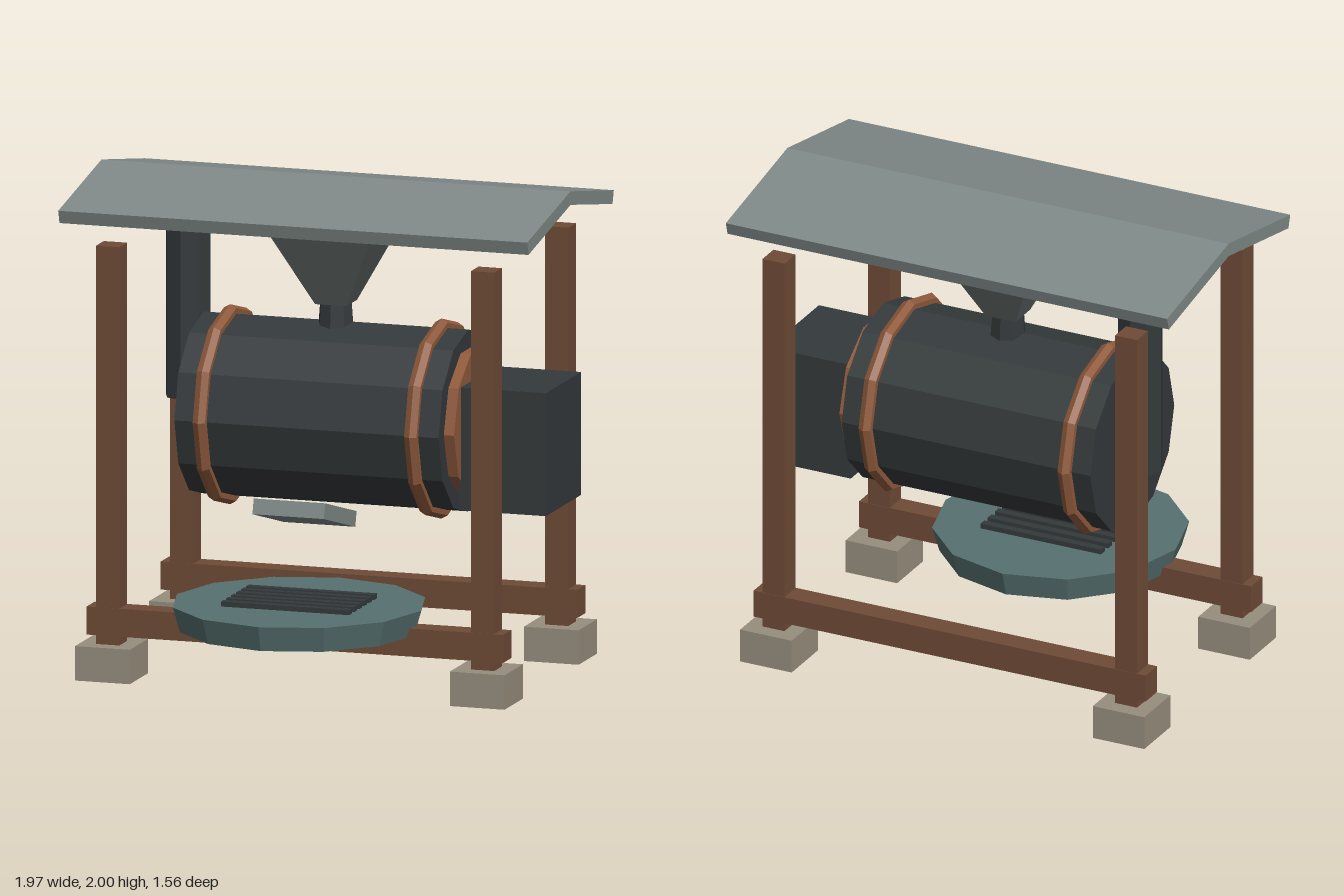
import * as THREE from 'three';

const paint = (color) => new THREE.MeshStandardMaterial({ color, flatShading: true });

export function createModel() {
  const model = new THREE.Group();
  const wood = paint(0x6e4b37), stone = paint(0x968d7d), iron = paint(0x34393b);
  const copper = paint(0x8f5a3c), tin = paint(0x7f8987), dish = paint(0x56706f);
  const funnel = paint(0x646c6b);

  const add = (name, geometry, material, x, y, z) => {
    const mesh = new THREE.Mesh(geometry, material);
    mesh.name = name;
    mesh.position.set(x, y, z);
    model.add(mesh);
    return mesh;
  };
  const box = (name, w, h, d, material, x, y, z) =>
    add(name, new THREE.BoxGeometry(w, h, d), material, x, y, z);
  const tube = (name, rTop, rBottom, h, sides, material, x, y, z) =>
    add(name, new THREE.CylinderGeometry(rTop, rBottom, h, sides), material, x, y, z);

  const axisY = 1.04, axisZ = -0.2;

  // Timber frame on stone footings
  for (const z of [0.265, -0.665]) {
    for (const x of [-0.787, 0.787]) {
      box('footing', 0.23, 0.14, 0.23, stone, x, 0.07, z);
      box('post', 0.098, 1.62, 0.096, wood, x, 0.95, z);
    }
    box('beam', 1.75, 0.114, 0.1, wood, 0, 0.233, z);
  }

  // Pitched roof, extruded along x
  const profile = new THREE.Shape([
    [-0.543, 1.898], [-0.527, 1.845], [0, 1.945], [0.527, 1.845], [0.543, 1.898], [0, 2],
  ].map(([x, y]) => new THREE.Vector2(x, y)));
  const roofGeometry = new THREE.ExtrudeGeometry(profile, { depth: 1.97, bevelEnabled: false });
  roofGeometry.translate(0, 0, -0.985).rotateY(Math.PI / 2);
  add('roof', roofGeometry, tin, 0, 0, axisZ);

  // Drum with copper hoops and end plate
  tube('drum', 0.37, 0.37, 1.11, 12, iron, 0, axisY, axisZ).rotation.z = Math.PI / 2;
  for (const x of [-0.445, 0.443]) {
    add('hoop', new THREE.TorusGeometry(0.377, 0.03, 6, 12), copper, x, axisY, axisZ)
      .rotation.y = Math.PI / 2;
  }
  tube('endPlate', 0.306, 0.306, 0.07, 10, copper, 0.563, axisY, axisZ).rotation.z = Math.PI / 2;
  box('driveHousing', 0.365, 0.5, 0.44, iron, 0.773, 0.97, axisZ);

  // Feed hopper: square funnel on a short neck
  tube('hopperNeck', 0.066, 0.076, 0.13, 8, iron, 0, 1.425, axisZ);
  const hopperGeometry = new THREE.CylinderGeometry(0.21 * Math.SQRT2, 0.066 * Math.SQRT2, 0.3, 4);
  hopperGeometry.rotateY(Math.PI / 4);
  add('hopper', hopperGeometry, funnel, 0, 1.635, axisZ);

  // Chimney with flared cowl
  tube('chimney', 0.093, 0.093, 0.755, 8, iron, -0.68, 1.403, -0.376);
  tube('chimneyCowl', 0.155, 0.095, 0.11, 8, tin, -0.68, 1.832, -0.376);

  // Tilted discharge chute
  box('chute', 0.3, 0.063, 0.41, tin, 0, 0.706, 0.195).rotation.x = -0.27;

  // Cooling tray with grate bars
  tube('tray', 0.513, 0.483, 0.103, 12, dish, 0, 0.303, 0.264);
  for (let i = 0; i < 6; i++) {
    box('grateBar', 0.538, 0.03, 0.034, iron, 0, 0.36, 0.106 + i * 0.0632);
  }

  return model;
}
